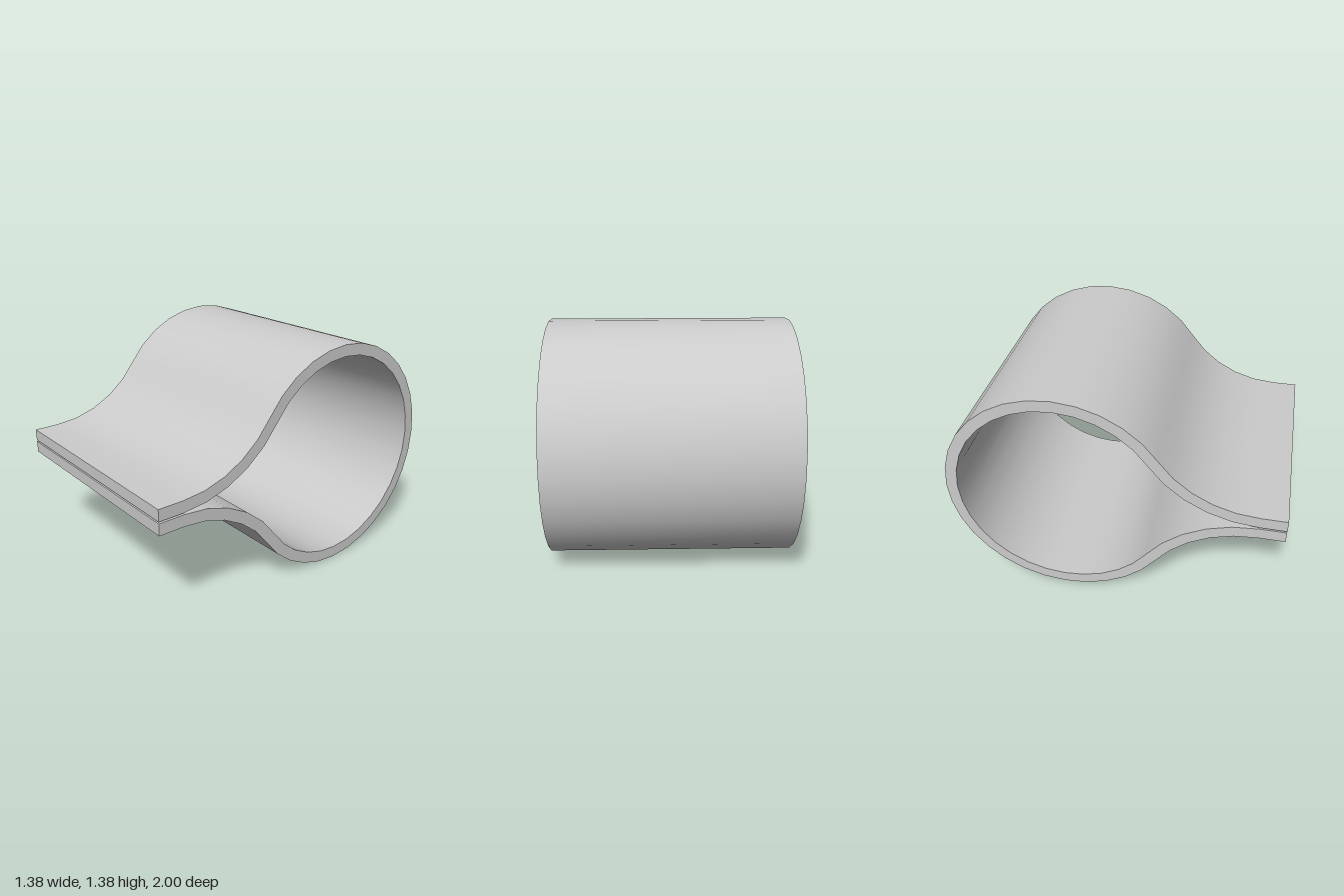
import * as THREE from 'three';
import { toCreasedNormals } from 'three/addons/utils/BufferGeometryUtils.js';

const WIDTH = 1.385;      // along x
const HALF_T = 0.035;     // half the strap thickness
const RADIUS = 0.6575;    // loop centreline radius
const CENTRE_Z = -0.3075, CENTRE_Y = 0.6925;
const FLANGE = 0.04;      // flange centreline above the mid plane
const STEP = Math.PI / 16;

// Upper half of the strap centreline, back to front: position and outward normal in (z, y)
function upperPath() {
  const path = [];
  const bend = 5 * STEP;  // where the loop turns into the fillet
  const fillet = (RADIUS * Math.cos(bend) - FLANGE) / (1 - Math.cos(bend));
  const filletZ = CENTRE_Z + (RADIUS + fillet) * Math.sin(bend);
  for (let i = -8; i <= 5; i++) {
    const s = Math.sin(i * STEP), c = Math.cos(i * STEP);
    path.push({ z: CENTRE_Z + RADIUS * s, y: RADIUS * c, nz: s, ny: c });
  }
  for (let i = 4; i >= 0; i--) {
    const s = Math.sin(i * STEP), c = Math.cos(i * STEP);
    path.push({ z: filletZ - fillet * s, y: FLANGE + fillet * (1 - c), nz: s, ny: c });
  }
  path.push({ z: 1, y: FLANGE, nz: 0, ny: 1 });
  return path;
}

export function createModel() {
  const group = new THREE.Group();
  group.name = 'loopClamp';

  // Mirror the upper half to get the whole strap, from top flange round to bottom flange
  const upper = upperPath();
  const lower = upper.slice(1).map(p => ({ ...p, y: -p.y, ny: -p.ny }));
  const path = [...upper.reverse(), ...lower];
  const offset = d => path.map(p => new THREE.Vector2(p.z + p.nz * d, CENTRE_Y + p.y + p.ny * d));

  // Outer skin one way, inner skin back
  const shape = new THREE.Shape([...offset(HALF_T), ...offset(-HALF_T).reverse()]);
  const geometry = new THREE.ExtrudeGeometry(shape, { depth: WIDTH, bevelEnabled: false });
  geometry.translate(0, 0, -WIDTH / 2);
  geometry.rotateY(-Math.PI / 2);

  const strap = new THREE.Mesh(
    toCreasedNormals(geometry, Math.PI / 6),
    new THREE.MeshStandardMaterial({ color: 0xcccccc })
  );
  strap.name = 'strap';
  group.add(strap);
  return group;
}
